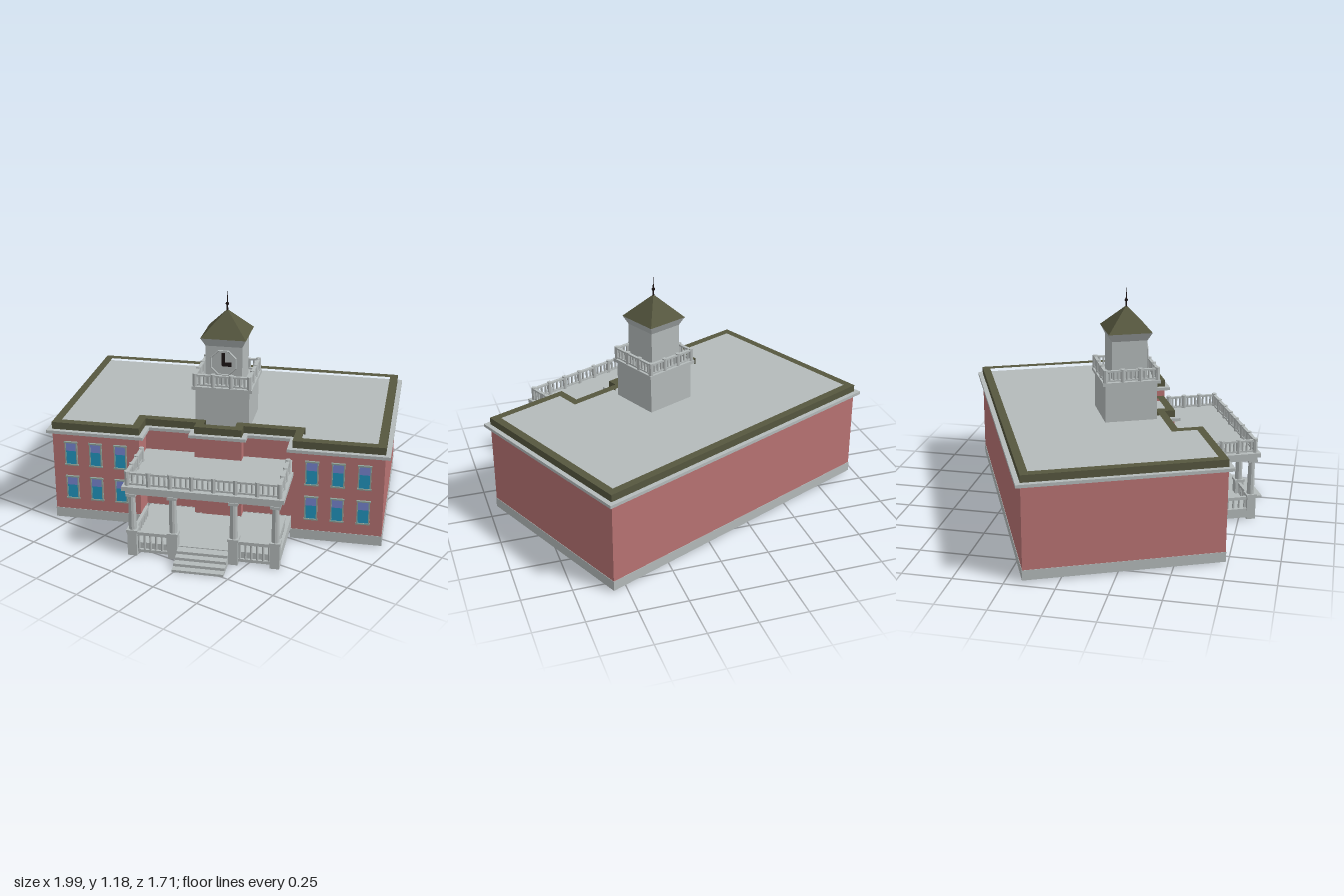
import * as THREE from 'three';

const mat = (color, extra = {}) => new THREE.MeshStandardMaterial({ color, flatShading: true, ...extra });
const GREY = mat(0xb4baba), BRICK = mat(0xb87373), OLIVE = mat(0x56573f), DARK = mat(0x1c1414),
  GLASS = mat(0x2196c0), BLIND = mat(0x7886d2), FRAME = mat(0x8fa39a);

function add(parent, name, geometry, material, x = 0, y = 0, z = 0) {
  const m = new THREE.Mesh(geometry, material);
  m.name = name;
  m.position.set(x, y, z);
  parent.add(m);
  return m;
}

// Box given by its centre in x and z and by its bottom and top heights
const box = (p, name, m, x, z, w, d, y0, y1) =>
  add(p, name, new THREE.BoxGeometry(w, y1 - y0, d), m, x, (y0 + y1) / 2, z);

// Plan of the building with recessed entrance and centre bay, grown outward by o
function plan(o) {
  const half = [[0.835 + o, -0.535 - o], [0.835 + o, 0.45 + o], [0.385 - o, 0.45 + o],
    [0.385 - o, 0.32 + o], [0.12 + o, 0.32 + o], [0.12 + o, 0.375 + o]];
  const all = [...half, ...half.slice().reverse().map(([x, z]) => [-x, z])];
  return all.map(([x, z]) => new THREE.Vector2(x, -z));
}

function storey(p, name, m, y0, y1, out, inner) {
  const shape = new THREE.Shape(plan(out));
  if (inner !== undefined) shape.holes.push(new THREE.Path(plan(inner)));
  const g = new THREE.ExtrudeGeometry(shape, { depth: y1 - y0, bevelEnabled: false });
  g.rotateX(-Math.PI / 2);
  return add(p, name, g, m, 0, y0, 0);
}

// Baluster railing between two plan points, with optional larger posts
function railing(p, name, a, b, y0, y1, count, postEvery, r = 0.006) {
  const g = new THREE.Group();
  g.name = name;
  const dx = b[0] - a[0], dz = b[1] - a[1], len = Math.hypot(dx, dz), h = y1 - y0;
  g.position.set((a[0] + b[0]) / 2, y0, (a[1] + b[1]) / 2);
  g.rotation.y = -Math.atan2(dz, dx);
  box(g, 'bottomRail', GREY, 0, 0, len, 0.014, h * 0.06, h * 0.18);
  box(g, 'topRail', GREY, 0, 0, len, 0.016, h * 0.8, h * 0.93);
  for (let i = 0; i <= count; i++) {
    const x = -len / 2 + len * i / count;
    const post = postEvery && i % postEvery === 0;
    const R = post ? 0.013 : r;
    add(g, post ? 'railPost' : 'baluster', new THREE.CylinderGeometry(R, R, post ? h : h * 0.8, 8), GREY,
      x, post ? h / 2 : h * 0.45, 0);
  }
  p.add(g);
}

// Framed sash window with a coloured upper pane
function sashWindow(p, x, z, w, y0, y1, mullions) {
  const g = new THREE.Group();
  g.name = 'window';
  const split = y1 - Math.min(0.046, (y1 - y0) * 0.38), t = 0.006;
  box(g, 'lowerPane', GLASS, x, z, w, 0.008, y0, split);
  box(g, 'upperPane', BLIND, x, z, w, 0.008, split, y1);
  for (const s of [-1, 1]) box(g, 'jamb', FRAME, x + s * w / 2, z, t, 0.016, y0, y1);
  box(g, 'sill', FRAME, x, z, w + 0.012, 0.02, y0 - 0.007, y0);
  box(g, 'lintel', FRAME, x, z, w + 0.012, 0.018, y1, y1 + 0.007);
  for (let i = 1; i <= mullions; i++) box(g, 'mullion', FRAME, x - w / 2 + w * i / (mullions + 1), z, 0.004, 0.012, y0, y1);
  p.add(g);
}

// Square frustum made from a four-sided cylinder; widths are side lengths
function frustum(p, name, m, top, bottom, y0, y1, x, z) {
  const g = new THREE.CylinderGeometry(top / Math.SQRT2, bottom / Math.SQRT2, y1 - y0, 4);
  g.rotateY(Math.PI / 4);
  return add(p, name, g, m, x, (y0 + y1) / 2, z);
}

function buildPorch(p) {
  const g = new THREE.Group();
  g.name = 'porch';
  box(g, 'porchFloor', GREY, 0, 0.52, 0.74, 0.41, 0.01, 0.06);
  for (let i = 0; i < 4; i++) box(g, 'step', GREY, 0, 0.715 + (0.16 - i * 0.035) / 2, 0.25, 0.16 - i * 0.035, i ? i * 0.014 : 0.002, (i + 1) * 0.014);
  // Columns on square pedestals
  const post = (x, z) => {
    box(g, 'pedestal', GREY, x, z, 0.046, 0.046, 0, 0.13);
    box(g, 'pedestalCap', GREY, x, z, 0.054, 0.054, 0.125, 0.138);
    add(g, 'column', new THREE.CylinderGeometry(0.017, 0.02, 0.19, 10), GREY, x, 0.232, z);
    box(g, 'capital', GREY, x, z, 0.048, 0.048, 0.318, 0.332);
  };
  for (const s of [-1, 1]) {
    for (const x of [0.148, 0.35]) post(s * x, 0.73);
    railing(g, 'porchRailing', [s * 0.148, 0.73], [s * 0.35, 0.73], 0.005, 0.13, 7, 0);
    railing(g, 'porchRailing', [s * 0.35, 0.46], [s * 0.35, 0.73], 0.005, 0.13, 9, 0);
  }
  // Balcony roof with railing
  box(g, 'beam', GREY, 0, 0.537, 0.755, 0.425, 0.33, 0.352);
  box(g, 'balconySlab', GREY, 0, 0.542, 0.784, 0.444, 0.352, 0.374);
  railing(g, 'balconyRailing', [-0.368, 0.738], [0.368, 0.738], 0.374, 0.448, 28, 4);
  for (const s of [-1, 1]) railing(g, 'balconyRailing', [s * 0.368, 0.47], [s * 0.368, 0.738], 0.374, 0.448, 12, 4);
  p.add(g);
}

function buildTower(p) {
  const g = new THREE.Group();
  g.name = 'clockTower';
  g.position.set(0.003, 0, 0.138);
  box(g, 'towerBase', GREY, 0, 0, 0.274, 0.274, 0.49, 0.705);
  box(g, 'towerBalcony', GREY, 0, 0, 0.304, 0.304, 0.703, 0.72);
  const c = [[-1, -1], [1, -1], [1, 1], [-1, 1]].map(q => q.map(v => v * 0.137));
  c.forEach((a, i) => railing(g, 'towerRailing', a, c[(i + 1) % 4], 0.72, 0.787, 12, 4));
  box(g, 'towerShaft', GREY, 0, 0, 0.186, 0.186, 0.72, 0.93);
  frustum(g, 'eaves', GREY, 0.228, 0.186, 0.92, 0.963, 0, 0);
  frustum(g, 'towerRoof', OLIVE, 0.002, 0.23, 0.963, 1.085, 0, 0);
  // Spire
  add(g, 'spireRod', new THREE.CylinderGeometry(0.001, 0.005, 0.1, 6), DARK, 0, 1.13, 0);
  add(g, 'spireBall', new THREE.SphereGeometry(0.009, 8, 6), DARK, 0, 1.115, 0);
  // Clock face and hands
  const dial = new THREE.CylinderGeometry(0.068, 0.068, 0.014, 8);
  dial.rotateY(Math.PI / 8).rotateX(Math.PI / 2);
  add(g, 'clockFace', dial, GREY, 0, 0.838, 0.096);
  const rim = new THREE.TorusGeometry(0.067, 0.005, 4, 8);
  rim.rotateZ(Math.PI / 8);
  add(g, 'clockRim', rim, GREY, 0, 0.838, 0.102);
  box(g, 'minuteHand', DARK, 0, 0.106, 0.016, 0.006, 0.825, 0.89);
  box(g, 'hourHand', DARK, 0.018, 0.106, 0.046, 0.006, 0.822, 0.842);
  p.add(g);
}

export function createModel() {
  const root = new THREE.Group();
  root.name = 'townHall';
  const hall = new THREE.Group();
  hall.name = 'building';
  const angle = 0.407;
  hall.rotation.y = angle;
  hall.position.set(0.013 * Math.cos(angle), 0, -0.013 * Math.sin(angle));
  root.add(hall);

  // Main block
  storey(hall, 'foundation', GREY, 0.01, 0.062, 0.002);
  storey(hall, 'brickWalls', BRICK, 0.062, 0.487, 0);
  storey(hall, 'cornice', GREY, 0.487, 0.503, 0.025);
  storey(hall, 'parapet', OLIVE, 0.503, 0.54, 0.001, -0.04);

  // Windows of both wings and the recessed entrance wall
  for (const s of [-1, 1]) {
    for (const x of [0.483, 0.612, 0.74]) {
      sashWindow(hall, s * x, 0.452, 0.058, 0.318, 0.434, 0);
      sashWindow(hall, s * x, 0.452, 0.058, 0.13, 0.244, 0);
    }
    sashWindow(hall, s * 0.252, 0.322, 0.122, 0.125, 0.318, 1);
  }

  // Door with tapering head
  const outline = [[-0.078, 0.062], [0.078, 0.062], [0.07, 0.2], [0.052, 0.285], [0.035, 0.297],
    [-0.035, 0.297], [-0.052, 0.285], [-0.07, 0.2]].map(q => new THREE.Vector2(...q));
  add(hall, 'door', new THREE.ExtrudeGeometry(new THREE.Shape(outline), { depth: 0.008, bevelEnabled: false }), BRICK, 0, 0, 0.373);

  buildPorch(hall);
  buildTower(hall);
  return root;
}
